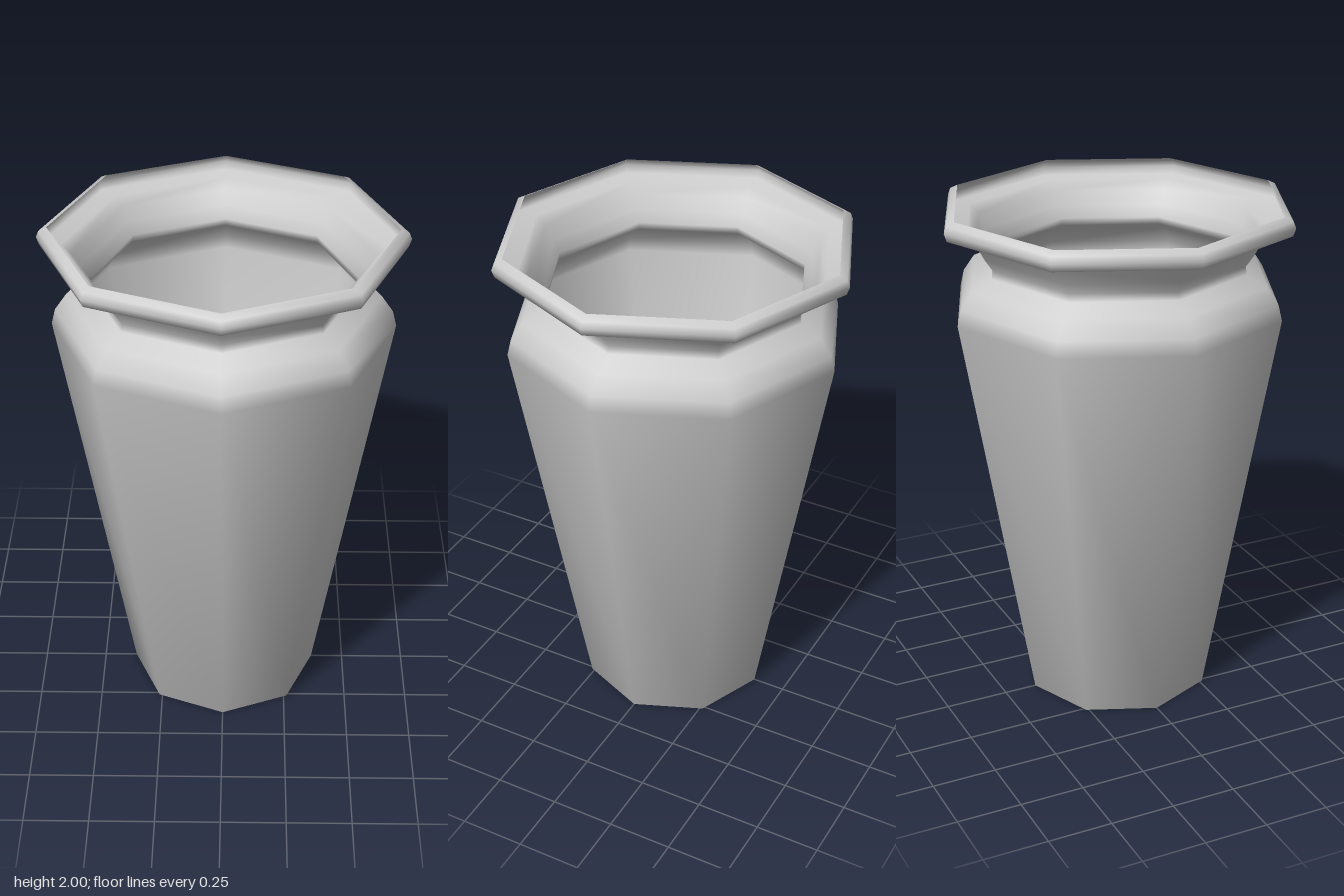
import * as THREE from 'three';

const SIDES = 8;

export function createModel() {
  const model = new THREE.Group();
  model.name = 'vase';

  // The vase is a thin open shell, so both faces show
  const clay = new THREE.MeshStandardMaterial({ color: 0xcccccc, side: THREE.DoubleSide });
  clay.name = 'pale grey clay';

  // Profile as [radius, height], from the middle of the base up to the rolled lip
  const profile = [
    [0, 0], [0.37, 0],                                        // base
    [0.65, 1.6], [0.635, 1.66], [0.59, 1.725], [0.51, 1.765], // wall and shoulder
    [0.505, 1.795], [0.535, 1.84], [0.565, 1.895], [0.6, 1.93], // neck and flare
    [0.68, 1.93], [0.69, 1.96], [0.68, 1.985], [0.65, 2],     // lip, open inside
  ].map(([r, y]) => new THREE.Vector2(r, y));

  const shell = new THREE.Mesh(new THREE.LatheGeometry(profile, SIDES), clay);
  shell.name = 'vaseShell';
  model.add(shell);
  return model;
}
